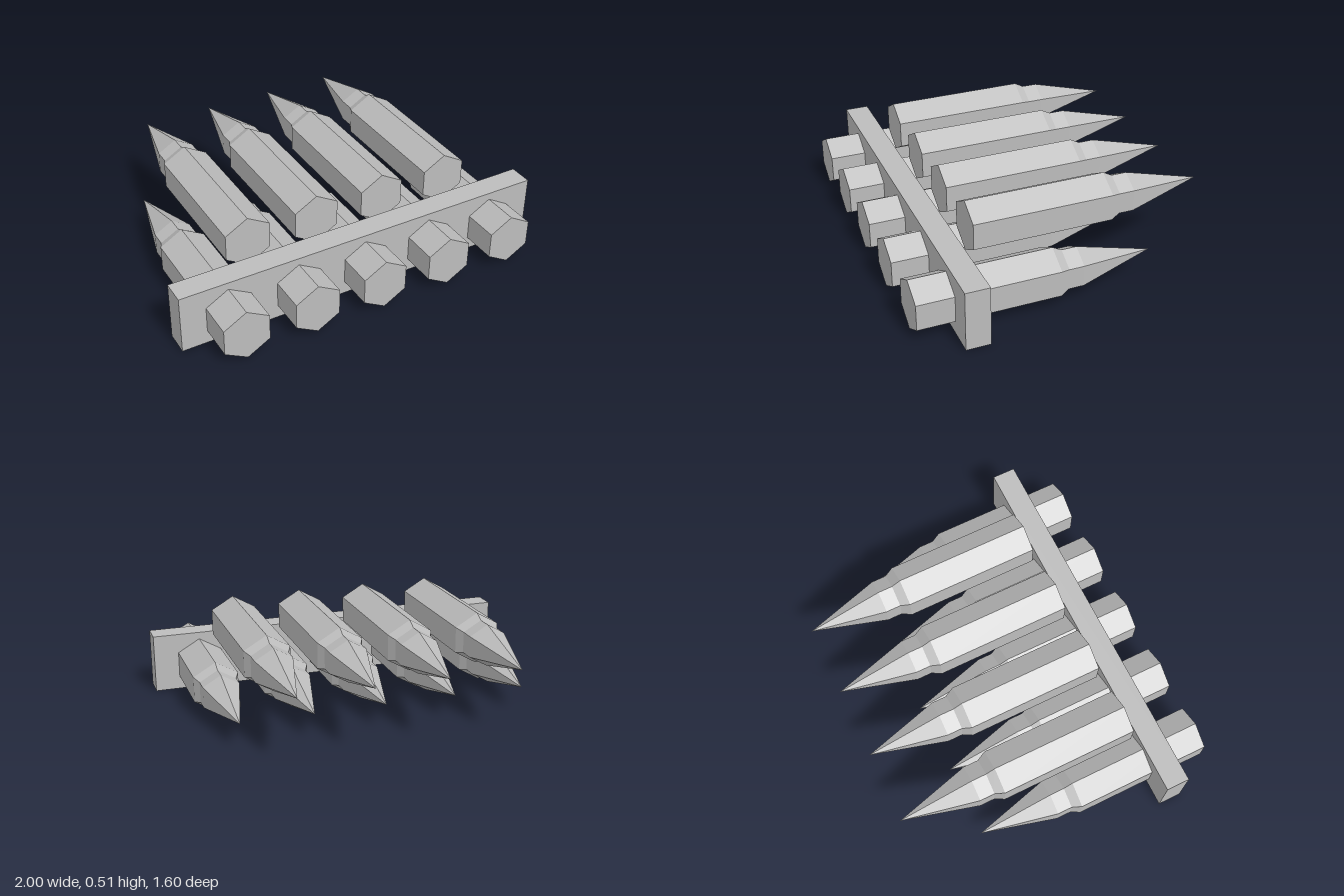
import * as THREE from 'three';

const SPACING = 0.375;

// Six-sided cartridge pointing to -z, base at z = 0, a corner edge on top
function cartridgeGeometry() {
  const profile = [
    [0, 0], [0.136, 0], [0.136, 0.722], [0.11, 0.77], [0.11, 0.848], [0, 1.245],
  ].map(([r, y]) => new THREE.Vector2(r, y));
  const geometry = new THREE.LatheGeometry(profile, 6).rotateX(-Math.PI / 2).toNonIndexed();
  geometry.computeVertexNormals(); // faceted sides
  return geometry;
}

export function createModel() {
  const model = new THREE.Group();
  model.name = 'cartridgeRack';
  const grey = new THREE.MeshStandardMaterial({ color: 0xbcbcbc });
  grey.name = 'grey';

  // Upright plate holding the lower row
  const plate = new THREE.Mesh(new THREE.BoxGeometry(2, 0.312, 0.124), grey);
  plate.name = 'holderPlate';
  plate.position.set(0, 0.156, 0.548);
  model.add(plate);

  // Rows of evenly spaced cartridges, centred on x = 0
  const geometry = cartridgeGeometry();
  function addRow(name, count, y, z) {
    const row = new THREE.Group();
    row.name = name;
    for (let i = 0; i < count; i++) {
      const cartridge = new THREE.Mesh(geometry, grey);
      cartridge.name = 'cartridge';
      cartridge.position.set((i - (count - 1) / 2) * SPACING, y, z);
      row.add(cartridge);
    }
    model.add(row);
  }
  addRow('lowerRow', 5, 0.139, 0.798);
  addRow('upperRow', 4, 0.376, 0.448);

  return model;
}
